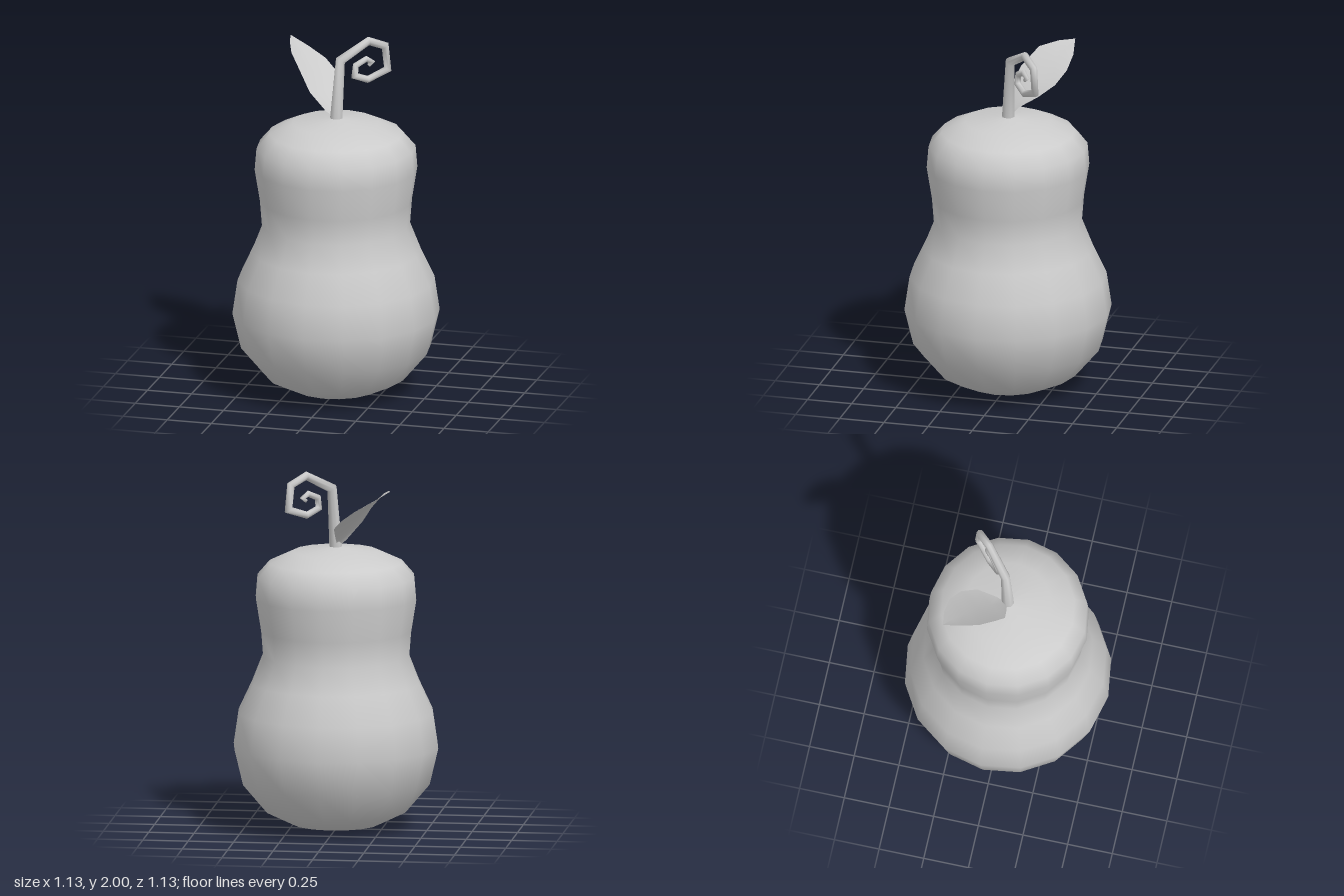
import * as THREE from 'three';

const V3 = (x, y, z) => new THREE.Vector3(x, y, z);
const grey = () => new THREE.MeshStandardMaterial({ color: 0xcccccc });

function named(name, geometry, material = grey()) {
  const mesh = new THREE.Mesh(geometry, material);
  mesh.name = name;
  return mesh;
}

// Skin rows of equal length; closed rows wrap round on themselves
function skin(rows, closed) {
  const n = rows[0].length, index = [];
  for (let i = 0; i + 1 < rows.length; i++) {
    for (let j = 0; j < (closed ? n : n - 1); j++) {
      const k = (j + 1) % n, a = i * n, b = a + n;
      index.push(a + j, a + k, b + j, a + k, b + k, b + j);
    }
  }
  const g = new THREE.BufferGeometry().setFromPoints(rows.flat());
  g.setIndex(index);
  g.computeVertexNormals();
  return g;
}

// Gourd body: a wide base, a waist and a smaller shoulder
function body() {
  const profile = [
    [0, 0], [0.24, 0.03], [0.385, 0.1], [0.52, 0.26], [0.568, 0.46], [0.54, 0.65], [0.465, 0.81],
    [0.406, 0.96], [0.417, 1.1], [0.446, 1.28], [0.436, 1.4], [0.367, 1.48], [0.237, 1.54], [0, 1.57],
  ].map(([r, y]) => new THREE.Vector2(r, y));
  return new THREE.LatheGeometry(profile, 16, -0.05);
}

// Stem that rises and curls inward in one vertical plane, tapering with mitred bends
function curlingStem() {
  const sides = 8, out = V3(0.735, 0, -0.678);
  // distance outward, height, radius
  const path = [
    [0, 1.54, 0.036], [0.027, 1.89, 0.026], [0.2, 1.977, 0.022], [0.302, 1.935, 0.021],
    [0.318, 1.8, 0.02], [0.195, 1.758, 0.019], [0.115, 1.79, 0.018], [0.122, 1.848, 0.017],
    [0.186, 1.876, 0.016], [0.222, 1.855, 0.014], [0.2, 1.838, 0.011],
  ];
  const pts = path.map(([u, y]) => out.clone().multiplyScalar(u).setY(y));
  const rows = pts.map((p, i) => {
    const before = p.clone().sub(pts[Math.max(i - 1, 0)]).normalize();
    const after = pts[Math.min(i + 1, pts.length - 1)].clone().sub(p).normalize();
    const t = before.clone().add(after).normalize();
    const side = out.clone().cross(V3(0, 1, 0)).normalize();
    const n = side.clone().cross(t).normalize();
    const b = t.clone().cross(n);
    const bend = i > 0 && i < pts.length - 1 ? 1 / Math.max(t.dot(after), 0.75) : 1;
    return Array.from({ length: sides }, (_, j) => {
      const a = (j / sides) * Math.PI * 2, r = path[i][2];
      return p.clone().addScaledVector(n, r * bend * Math.cos(a)).addScaledVector(b, r * Math.sin(a));
    });
  });
  // close the tip
  rows.push(Array.from({ length: sides }, () => pts[pts.length - 1].clone()));
  return skin(rows, true);
}

// Leaf: rows of left edge, midrib and right edge from base to tip
function leaf() {
  const base = [-0.01, 1.565, -0.01], tip = [-0.337, 1.927, -0.29];
  const rows = [
    [base, base, base],
    [[-0.055, 1.6, 0.005], [-0.03, 1.605, -0.025], [-0.005, 1.62, -0.06]],
    [[-0.145, 1.705, 0.015], [-0.08, 1.68, -0.075], [-0.01, 1.69, -0.17]],
    [[-0.2, 1.79, -0.02], [-0.135, 1.75, -0.14], [-0.06, 1.748, -0.25]],
    [[-0.28, 1.885, -0.1], [-0.215, 1.83, -0.2], [-0.14, 1.81, -0.295]],
    [[-0.317, 1.915, -0.2], [-0.28, 1.887, -0.25], [-0.24, 1.868, -0.305]],
    [tip, tip, tip],
  ].map((row) => row.map((p) => V3(...p)));
  return skin(rows, false);
}

export function createModel() {
  const group = new THREE.Group();
  group.name = 'gourd';
  const leafMaterial = grey();
  leafMaterial.side = THREE.DoubleSide;
  group.add(
    named('body', body()),
    named('curlingStem', curlingStem()),
    named('leaf', leaf(), leafMaterial),
  );
  return group;
}
